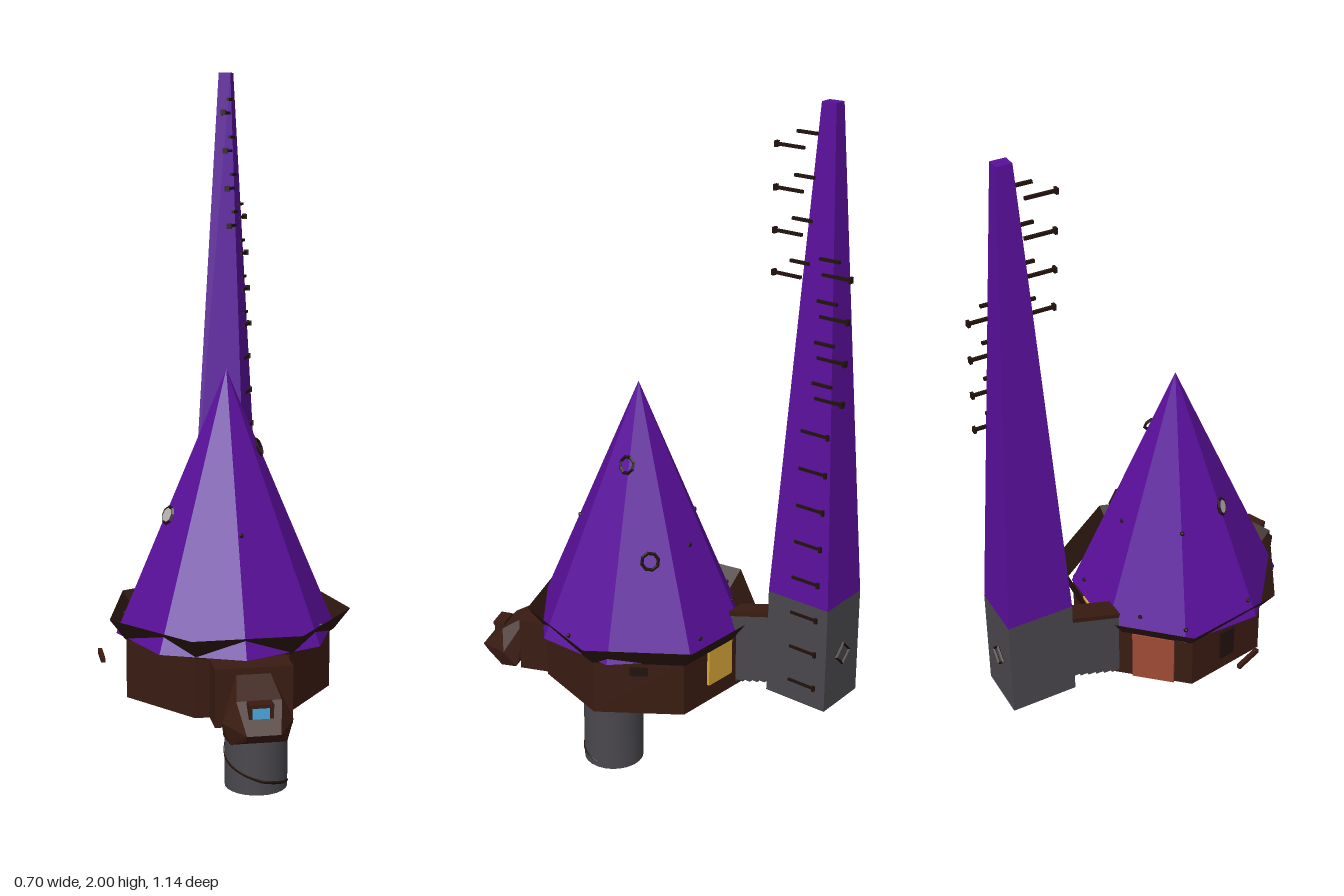
import * as THREE from 'three';
import { ConvexGeometry } from 'three/addons/geometries/ConvexGeometry.js';

const mat = (color, side = THREE.FrontSide) => new THREE.MeshStandardMaterial({ color, flatShading: true, side });
const PURPLE = mat(0x5a0f9c), BROWN = mat(0x3a1c12), DARK = mat(0x21120d), GREY = mat(0x4a484d);
const YELLOW = mat(0xd9a93a), RED = mat(0xa04a35), BLUE = mat(0x4aa8dd), PALE = mat(0xb8b4b0);
const STONE = new THREE.MeshStandardMaterial({ color: 0x4a484d });

function add(parent, name, geometry, material, x = 0, y = 0, z = 0) {
  const mesh = new THREE.Mesh(geometry, material);
  mesh.name = name;
  mesh.position.set(x, y, z);
  parent.add(mesh);
  return mesh;
}
const box = (w, h, d) => new THREE.BoxGeometry(w, h, d);

// Post with a winding vine
function buildPost(root) {
  add(root, 'post', new THREE.CylinderGeometry(0.089, 0.089, 0.28, 24), STONE, 0.075, 0.14, 0.15);
  const heights = [0.265, 0.235, 0.2, 0.09, 0.04, 0.01];
  const points = heights.map((y, i) => [y, i * Math.PI / 2]);
  const path = [];
  for (let i = 0; i < points.length - 1; i++) {
    for (let k = 0; k < 6; k++) {
      const t = k / 6, a = points[i][1] + t * Math.PI / 2;
      const y = THREE.MathUtils.lerp(points[i][0], points[i + 1][0], t);
      path.push(new THREE.Vector3(0.075 + 0.087 * Math.sin(a), y, 0.15 + 0.087 * Math.cos(a)));
    }
  }
  add(root, 'postVine', new THREE.TubeGeometry(new THREE.CatmullRomCurve3(path), 60, 0.005, 5), DARK);
}

// Seven-sided hut with door, window and flared eaves
function buildHut(root) {
  add(root, 'walls', new THREE.CylinderGeometry(0.296, 0.296, 0.17, 7, 1, false, Math.PI), BROWN, 0, 0.358, 0.07);
  add(root, 'floor', new THREE.CylinderGeometry(0.27, 0.27, 0.01, 7, 1, false, Math.PI), GREY, 0, 0.271, 0.07);

  const panel = (name, material, side, w, h, y) => {
    const a = Math.PI - side * Math.PI / 7;
    const r = 0.296 * Math.cos(Math.PI / 7);
    const m = add(root, name, box(w, h, 0.016), material, r * Math.sin(a), y, 0.07 + r * Math.cos(a));
    m.rotation.y = a;
    return m;
  };
  panel('door', RED, -1, 0.125, 0.165, 0.357).translateX(0.012);
  panel('litWindow', YELLOW, 1, 0.1, 0.115, 0.385).translateX(0.02);
  panel('sideWindow', DARK, -3, 0.05, 0.1, 0.37);
  panel('sideWindow', DARK, 3, 0.05, 0.025, 0.41);

  const outer = [[-0.05, -0.25], [-0.265, -0.15], [-0.335, 0.145], [-0.145, 0.383],
    [0.155, 0.383], [0.345, 0.145], [0.28, -0.15], [0.07, -0.25]];
  const pos = [], index = [];
  outer.forEach(([x, z], i) => {
    pos.push(x, 0.5, z, x * 0.87, 0.44, 0.07 + (z - 0.07) * 0.87);
    if (i < outer.length - 1) index.push(2 * i, 2 * i + 1, 2 * i + 2, 2 * i + 1, 2 * i + 3, 2 * i + 2);
  });
  const eaves = new THREE.BufferGeometry();
  eaves.setAttribute('position', new THREE.Float32BufferAttribute(pos, 3));
  eaves.setIndex(index);
  eaves.computeVertexNormals();
  add(root, 'eaves', eaves, mat(0x2c160e, THREE.DoubleSide));
  add(root, 'hangingBar', box(0.012, 0.014, 0.09), BROWN, -0.345, 0.356, 0.005);
}

// Eight-sided roof with studs and rings lying on its faces
function buildRoof(root) {
  add(root, 'roof', new THREE.ConeGeometry(0.311, 0.735, 8), PURPLE, 0, 0.8125, 0.088);
  const place = (mesh, x, z) => {
    const dz = z - 0.088;
    const a = (Math.floor(Math.atan2(x, dz) / (Math.PI / 4)) + 0.5) * Math.PI / 4;
    const d = (x * Math.sin(a) + dz * Math.cos(a)) / Math.cos(Math.PI / 8);
    mesh.position.set(x, 1.18 - 0.735 * d / 0.311, z);
    const normal = new THREE.Vector3(Math.sin(a), 0.39, Math.cos(a)).normalize();
    mesh.quaternion.setFromUnitVectors(new THREE.Vector3(0, 0, 1), normal);
  };
  const studs = [[-0.08, -0.17], [0.16, -0.14], [-0.21, -0.12], [-0.13, -0.04],
    [0.06, -0.08], [0.24, 0.225], [0.01, 0.265], [-0.285, 0.08]];
  for (const [x, z] of studs) place(add(root, 'roofStud', new THREE.SphereGeometry(0.007, 6, 4), DARK), x, z);
  const rings = [[-0.165, 0.1], [0.09, 0.095], [0.165, 0.005]];
  for (const [x, z] of rings) place(add(root, 'roofRing', new THREE.TorusGeometry(0.024, 0.005, 4, 8), DARK), x, z);
  place(add(root, 'roofPorthole', new THREE.CircleGeometry(0.02, 8).translate(0, 0, 0.004), PALE), -0.165, 0.1);
}

// Front bay with a jutting hood and a small blue pane
function buildBay(root) {
  add(root, 'bay', box(0.21, 0.16, 0.1), BROWN, 0.015, 0.355, 0.375);
  const sections = [
    // half width, y, z
    [0.045, 0.42, 0.42], [0.045, 0.33, 0.42], [0.06, 0.37, 0.5], [0.095, 0.31, 0.485],
    [0.085, 0.262, 0.45], [0.075, 0.255, 0.5], [0.045, 0.3, 0.57], [0.045, 0.28, 0.555]
  ];
  const corners = sections.flatMap(([w, y, z]) => [-1, 1].map(s => new THREE.Vector3(0.013 + s * w, y, z)));
  add(root, 'hood', new ConvexGeometry(corners), BROWN);
  add(root, 'pane', box(0.045, 0.05, 0.02), BLUE, 0.012, 0.338, 0.527);
  add(root, 'paneLintel', box(0.065, 0.01, 0.035), BROWN, 0.012, 0.368, 0.523);
  for (const s of [-1, 1]) add(root, 'paneJamb', box(0.01, 0.06, 0.03), BROWN, 0.012 + s * 0.028, 0.338, 0.522);
}

// Turned square tower: stone base, tapering spire, rungs, and stepped bridge to the hut
function buildTower(root) {
  const tower = new THREE.Group();
  tower.name = 'tower';
  tower.position.set(0.095, 0, -0.45);
  tower.rotation.y = -0.385;
  root.add(tower);

  add(tower, 'towerBase', box(0.162, 0.313, 0.195), GREY, 0, 0.4945, 0);
  const spire = box(0.162, 1.35, 0.195);
  const p = spire.attributes.position;
  for (let i = 0; i < p.count; i++) {
    if (p.getY(i) > 0) { p.setX(i, p.getX(i) * 0.22); p.setZ(i, p.getZ(i) * 0.22); }
  }
  spire.computeVertexNormals();
  add(tower, 'spire', spire, PURPLE, 0, 1.325, 0);
  add(tower, 'diamondFrame', new THREE.TorusGeometry(0.032, 0.005, 4, 4), DARK, 0, 0.49, -0.099);

  // Rungs: [first height, count, local z], pairs of thin rods with a knob at the end
  const runs = [[1.55, 4, 0.095, 0.11], [1.24, 4, -0.055, 0.11], [0.4, 8, -0.02, 0.106]];
  for (const [y0, count, z, step] of runs) {
    for (let i = 0; i < count; i++) {
      const y = y0 + i * step;
      const x = THREE.MathUtils.lerp(0.081, 0.018, Math.max(0, (y - 0.65) / 1.35));
      const shift = z > 0 ? 0.012 * i / 3 : 0;
      add(tower, 'rung', box(0.008, 0.008, 0.085), DARK, x, y, z + shift);
      add(tower, 'rungKnob', box(0.014, 0.016, 0.008), DARK, x, y, z + shift + Math.sign(z) * 0.042);
      if (z !== -0.02) add(tower, 'shortRung', box(0.008, 0.008, 0.06), DARK, x, y + 0.04, z * 0.6);
    }
  }

  const steps = 7;
  for (let i = 0; i < steps; i++) {
    const t = (i + 0.5) / steps, bottom = 0.34 - 0.06 * t, top = 0.55 - 0.055 * t;
    add(tower, 'bridgeStep', box(0.056, top - bottom, 0.18 / steps), GREY, 0, (top + bottom) / 2, 0.09 + 0.18 * t);
  }
  const cover = add(tower, 'bridgeRoof', box(0.064, 0.014, 0.2), BROWN, 0, 0.53, 0.175);
  cover.rotation.x = 0.3;
}

export function createModel() {
  const root = new THREE.Group();
  root.name = 'hutWithTower';
  buildPost(root);
  buildHut(root);
  buildRoof(root);
  buildBay(root);
  buildTower(root);
  return root;
}
